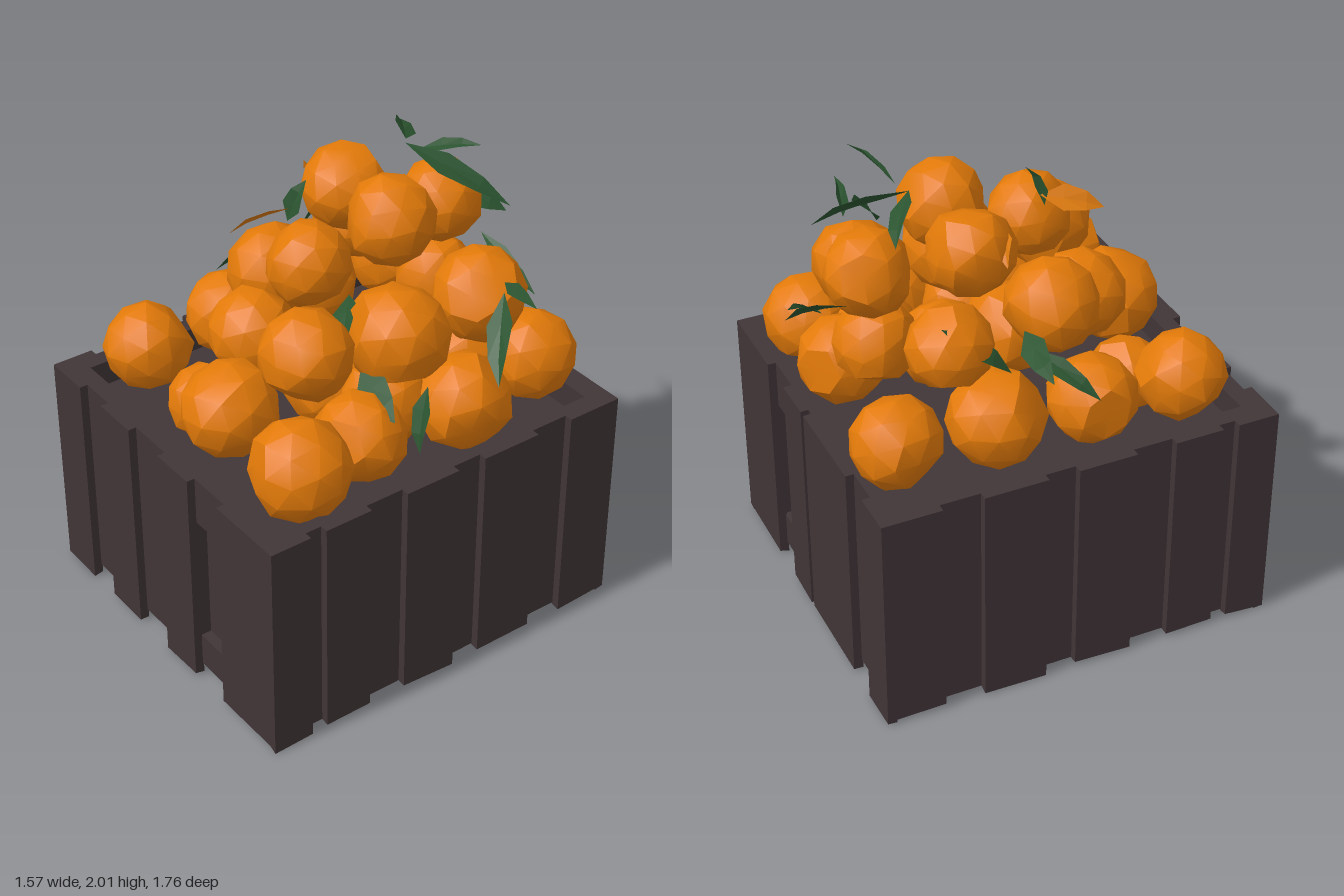
import * as THREE from 'three';
import { mergeVertices, toCreasedNormals } from 'three/addons/utils/BufferGeometryUtils.js';

const mat = (name, color, side = THREE.FrontSide) => {
  const m = new THREE.MeshStandardMaterial({ color, side });
  m.name = name;
  return m;
};

export function createModel() {
  const model = new THREE.Group();
  model.name = 'crateOfOranges';
  const wood = mat('dark wood', 0x413537);
  const peel = mat('orange peel', 0xe37a09);
  const green = mat('leaf green', 0x2b5430, THREE.DoubleSide);
  const dry = mat('dry leaf orange', 0xd9780f, THREE.DoubleSide);

  let seed = 11;
  const rand = () => {
    seed = (seed * 16807) % 2147483647;
    return seed / 2147483647;
  };
  const jitter = (amount) => (rand() - 0.5) * 2 * amount;

  // ---- crate ----
  const crate = new THREE.Group();
  crate.name = 'crate';
  model.add(crate);

  // box given by its min and max corners; rough > 0 nudges the lower corners
  const block = (name, x0, x1, y0, y1, z0, z1, rough = 0) => {
    const geo = new THREE.BoxGeometry(x1 - x0, y1 - y0, z1 - z0);
    geo.translate((x0 + x1) / 2, (y0 + y1) / 2, (z0 + z1) / 2);
    if (rough) {
      const drop = [0, 1, 2, 3].map(() => rand() * rough);
      const p = geo.attributes.position;
      for (let i = 0; i < p.count; i++) {
        if (p.getY(i) > (y0 + y1) / 2) continue;
        const corner = (p.getX(i) > (x0 + x1) / 2 ? 1 : 0) + (p.getZ(i) > (z0 + z1) / 2 ? 2 : 0);
        p.setY(i, y0 + drop[corner]);
      }
      geo.computeVertexNormals();
    }
    const mesh = new THREE.Mesh(geo, wood);
    mesh.name = name;
    crate.add(mesh);
  };

  const top = 0.98, low = 0.05;
  // walls between the raised slats
  block('leftWall', 0.68, 0.735, 0.02, top, -0.785, 0.845);
  block('rightWall', -0.755, -0.68, 0.02, top, -0.785, 0.845);
  // front and back walls, each with a sunken panel between two rails
  for (const [side, inner, panel, outer] of [['front', 0.77, 0.8, 0.845], ['back', -0.72, -0.745, -0.785]]) {
    const span = (a, b) => [Math.min(a, b), Math.max(a, b)];
    block(side + 'Wall', -0.68, 0.21, low, top, ...span(inner, outer));
    block(side + 'Wall', 0.41, 0.68, low, top, ...span(inner, outer));
    block(side + 'GapPanel', 0.21, 0.41, low, top, ...span(inner, panel));
    block(side + 'UpperRail', 0.21, 0.41, 0.77, top, ...span(panel, outer));
    block(side + 'LowerRail', 0.21, 0.41, low, 0.2, ...span(panel, outer));
  }
  block('floor', -0.7, 0.7, 0.04, 0.1, -0.74, 0.8);
  block('packingBoard', -0.69, 0.69, 0.83, 0.87, -0.73, 0.78);

  // raised slats on the four sides
  for (const [a, b] of [[-0.79, -0.58], [-0.42, -0.21], [0, 0.21], [0.41, 0.77]])
    block('frontSlat', a, b, 0, top, 0.84, 0.88, 0.02);
  for (const [a, b] of [[-0.79, -0.6], [-0.44, 0], [0.03, 0.22], [0.4, 0.77]])
    block('backSlat', a, b, 0, top, -0.82, -0.78, 0.02);
  for (const [a, b] of [[0.7, 0.88], [0.42, 0.63], [0.0, 0.25], [-0.4, -0.13], [-0.82, -0.57]]) {
    block('rightSlat', -0.79, -0.75, 0, top, a, b, 0.02);
    block('leftSlat', 0.73, 0.77, 0, top, a, b, 0.02);
  }

  // ---- oranges: coarse balls with uneven skin and a few flattened cheeks ----
  const fruit = new THREE.Group();
  fruit.name = 'oranges';
  model.add(fruit);
  const orange = (x, y, z, r) => {
    let geo = new THREE.IcosahedronGeometry(r * 1.03, 1);
    geo.deleteAttribute('normal');
    geo.deleteAttribute('uv');
    geo = mergeVertices(geo, 1e-4);
    const cheeks = [0, 1].map(() => new THREE.Vector3(jitter(1), jitter(1), jitter(1)).normalize());
    const p = geo.attributes.position;
    const v = new THREE.Vector3();
    for (let i = 0; i < p.count; i++) {
      v.fromBufferAttribute(p, i).multiplyScalar(1 + jitter(0.025));
      for (const c of cheeks) v.addScaledVector(c, Math.min(0, r * 0.88 - v.dot(c)));
      p.setXYZ(i, v.x, v.y, v.z);
    }
    const mesh = new THREE.Mesh(toCreasedNormals(geo, 0.56), peel);
    mesh.name = 'orange';
    mesh.position.set(x, y, z);
    mesh.rotation.set(rand() * 6, rand() * 6, 0);
    fruit.add(mesh);
  };
  const bottomLayer = [
    [-0.5, 1.12, -0.63, 0.18], [0.12, 1.12, -0.6, 0.18], [0.46, 1.12, -0.61, 0.185],
    [0.54, 1.1, -0.2, 0.195], [-0.51, 1.12, -0.22, 0.195], [-0.53, 1.11, 0.18, 0.18],
    [0.48, 1.08, 0.26, 0.185], [-0.53, 1.1, 0.58, 0.18], [-0.24, 0.95, 0.49, 0.16],
    [0.08, 1.13, 0.59, 0.195], [0.52, 1.09, 0.57, 0.2], [0.1, 1.08, 0.12, 0.19],
    [0.02, 1.15, -0.22, 0.18], [0.27, 1.1, -0.4, 0.18], [0.34, 1.1, 0.03, 0.18],
  ];
  const middleLayer = [
    [0.33, 1.4, -0.44, 0.19], [-0.42, 1.43, -0.37, 0.17], [0.36, 1.38, -0.01, 0.205],
    [-0.29, 1.41, 0.12, 0.19], [0.3, 1.41, 0.38, 0.185], [-0.1, 1.3, 0.35, 0.18],
    [-0.05, 1.28, -0.52, 0.17],
  ];
  const topLayer = [
    [-0.07, 1.61, -0.55, 0.175], [-0.24, 1.71, -0.2, 0.175],
    [0.11, 1.73, -0.16, 0.18], [0.05, 1.63, 0.19, 0.17],
  ];
  for (const o of [...bottomLayer, ...middleLayer, ...topLayer]) orange(...o);

  // ---- leaves: folded blades from stem point to tip ----
  const leaves = new THREE.Group();
  leaves.name = 'leaves';
  model.add(leaves);
  const leaf = (from, to, width = 0.1, material = green) => {
    const a = new THREE.Vector3(...from), b = new THREE.Vector3(...to);
    const along = b.clone().sub(a);
    const side = new THREE.Vector3(0, 1, 0).cross(along).normalize();
    side.applyAxisAngle(along.clone().normalize(), 0.6);
    const up = along.clone().cross(side).normalize();
    const at = (t, s, h) => a.clone().addScaledVector(along, t)
      .addScaledVector(side, s * width).addScaledVector(up, h).toArray();
    const rib1 = at(0.35, 0, 0.01), rib2 = at(0.7, 0, 0.012);
    const pos = [];
    for (const s of [-1, 1]) {
      const e1 = at(0.35, s * 0.5, 0.02), e2 = at(0.7, s * 0.35, 0.025);
      const tris = [[at(0, 0, 0), e1, rib1], [rib1, e1, e2], [rib1, e2, rib2], [rib2, e2, at(1, 0, 0)]];
      for (const [p, q, r] of tris) pos.push(...p, ...(s > 0 ? q : r), ...(s > 0 ? r : q));
    }
    const geo = new THREE.BufferGeometry();
    geo.setAttribute('position', new THREE.Float32BufferAttribute(pos, 3));
    geo.computeVertexNormals();
    const mesh = new THREE.Mesh(geo, material);
    mesh.name = 'leaf';
    leaves.add(mesh);
  };
  // crown sprig
  leaf([0.0, 1.92, -0.4], [0.24, 2.0, -0.5], 0.06);
  leaf([-0.07, 1.92, -0.37], [0.24, 1.68, -0.66], 0.1);
  leaf([-0.08, 1.93, -0.38], [-0.35, 1.86, -0.55], 0.1);
  leaf([-0.1, 1.74, 0.18], [-0.07, 1.91, 0.11], 0.09);
  leaf([-0.1, 1.79, 0.16], [-0.18, 1.72, 0.4], 0.12, dry);
  leaf([-0.3, 1.8, -0.08], [-0.44, 1.72, -0.14], 0.07, dry);
  // left sprig
  leaf([0.49, 1.53, -0.43], [0.76, 1.57, -0.36], 0.06);
  leaf([0.57, 1.55, -0.36], [0.78, 1.3, -0.17], 0.12);
  // right sprig
  leaf([-0.4, 1.4, -0.05], [-0.7, 1.34, -0.07], 0.11);
  leaf([-0.5, 1.38, -0.06], [-0.7, 1.21, 0.13], 0.08);
  leaf([-0.5, 1.57, -0.44], [-0.56, 1.34, -0.18], 0.1);
  // back sprig
  leaf([-0.2, 1.57, -0.69], [-0.03, 1.46, -0.88], 0.12);
  leaf([0.0, 1.43, -0.72], [0.32, 1.27, -0.75], 0.07);
  // leaves tucked between the fruit
  leaf([0.1, 1.45, 0.03], [0.3, 1.37, 0.2], 0.12);
  leaf([0.36, 1.28, 0.17], [0.62, 1.2, 0.2], 0.14);
  leaf([0.59, 1.28, 0.02], [0.65, 1.03, 0.1], 0.1);

  return model;
}
